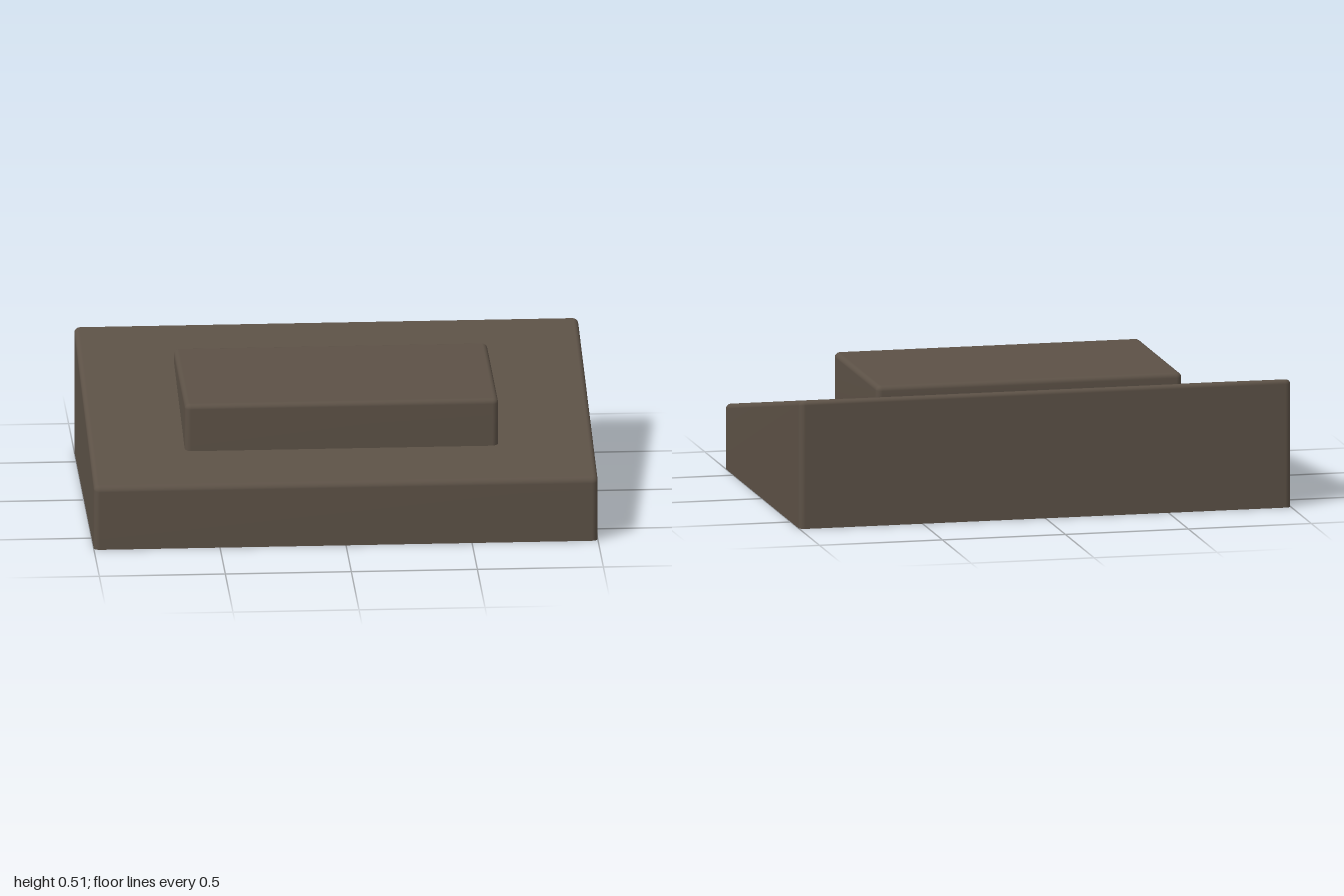
import * as THREE from 'three';

const CORNER_STEPS = 5;
const FILLET_STEPS = 5;

// Height of the sloping top at depth z
const slope = (z) => 0.388 - 0.198 * z;

// Rounded rectangle loop around the y axis; height(z) sets y
function ring(hw, hd, r, height) {
  const points = [];
  for (let q = 0; q < 4; q++) {
    const sx = q === 0 || q === 3 ? 1 : -1;
    const sz = q < 2 ? 1 : -1;
    for (let i = 0; i <= CORNER_STEPS; i++) {
      const a = (q + i / CORNER_STEPS) * Math.PI / 2;
      const x = sx * (hw - r) + r * Math.cos(a);
      const z = sz * (hd - r) + r * Math.sin(a);
      points.push(new THREE.Vector3(x, height(z), z));
    }
  }
  return points;
}

// Rings that round a wall over into the surface top(z)
function fillet(hw, hd, r, top) {
  const rings = [];
  for (let i = 0; i <= FILLET_STEPS; i++) {
    const a = (i / FILLET_STEPS) * Math.PI / 2;
    const inset = r * (1 - Math.cos(a));
    const drop = r * (1 - Math.sin(a));
    rings.push(ring(hw - inset, hd - inset, r * 1.2 - inset, (z) => top(z) - drop));
  }
  return rings;
}

// Skin a stack of equal-sized loops
function loft(name, rings, material) {
  const n = rings[0].length;
  const index = [];
  for (let k = 0; k < rings.length - 1; k++) {
    for (let j = 0; j < n; j++) {
      const a = k * n + j;
      const b = k * n + (j + 1) % n;
      index.push(a, a + n, b, b, a + n, b + n);
    }
  }
  const geometry = new THREE.BufferGeometry().setFromPoints(rings.flat());
  geometry.setIndex(index);
  geometry.computeVertexNormals();
  const mesh = new THREE.Mesh(geometry, material);
  mesh.name = name;
  return mesh;
}

export function createModel() {
  const group = new THREE.Group();
  group.name = 'slopedPlinth';

  const brown = new THREE.MeshStandardMaterial({ color: 0x5c5146, side: THREE.DoubleSide });
  brown.name = 'dark brown';

  // Hollow wedge shell, open underneath, with an opening below the raised block
  group.add(loft('wedgeShell', [
    ring(1, 0.655, 0.024, () => 0),
    ...fillet(1, 0.655, 0.02, slope),
    ring(0.622, 0.375, 0.024, slope),
  ], brown));

  // Hollow level block rising out of the slope
  const level = () => 0.506;
  group.add(loft('raisedBlock', [
    ring(0.622, 0.375, 0.024, slope),
    ...fillet(0.622, 0.375, 0.02, level),
    ring(0, 0, 0, level),
  ], brown));

  return group;
}
